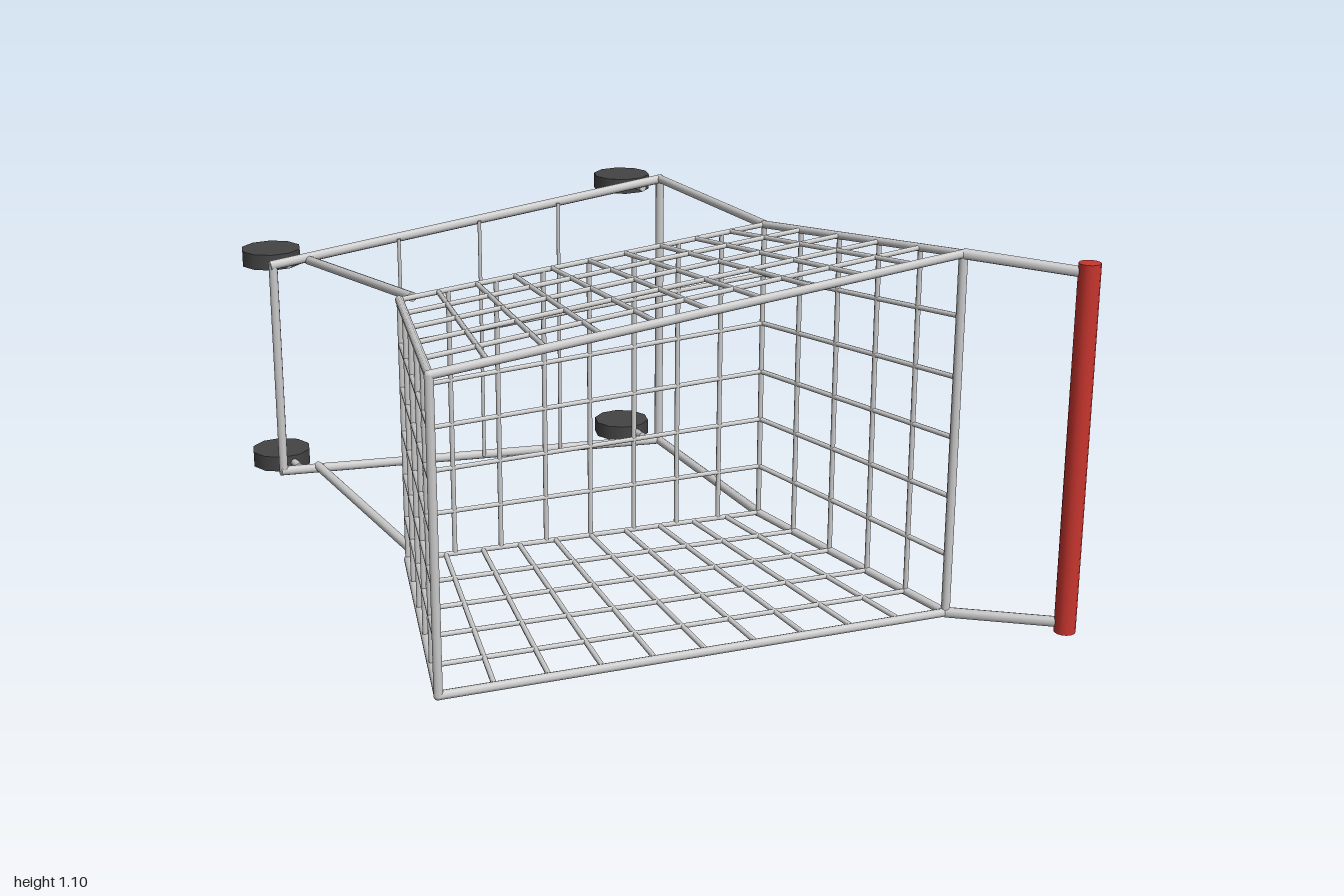
import * as THREE from 'three';

const grey = new THREE.MeshStandardMaterial({ color: 0xcccccc });
const red = new THREE.MeshStandardMaterial({ color: 0xc8352e });
const dark = new THREE.MeshStandardMaterial({ color: 0x444444 });
const MID = 0.552; // the cart lies on its side, mirrored about this height

const V = (x, h, z) => new THREE.Vector3(x, MID + h, z);
const mix = (a, b, t) => a.clone().lerp(b, t);

// round rod between two points
function rod(parent, name, a, b, r, material = grey, sides = 8) {
  const d = b.clone().sub(a);
  const mesh = new THREE.Mesh(new THREE.CylinderGeometry(r, r, d.length(), sides), material);
  mesh.position.copy(a).add(b).multiplyScalar(0.5);
  mesh.quaternion.setFromUnitVectors(new THREE.Vector3(0, 1, 0), d.normalize());
  mesh.name = name;
  parent.add(mesh);
}

// rounded joint where rods meet
function joint(parent, p, r) {
  const mesh = new THREE.Mesh(new THREE.SphereGeometry(r, 8, 6), grey);
  mesh.position.copy(p);
  mesh.name = 'joint';
  parent.add(mesh);
}

// wire grid filling the quad a-b-c-d, with nu and nv divisions
function wireGrid(parent, name, [a, b, c, d], nu, nv) {
  const g = new THREE.Group();
  g.name = name;
  for (let i = 1; i < nu; i++) rod(g, 'wire', mix(a, b, i / nu), mix(d, c, i / nu), 0.0075);
  for (let j = 1; j < nv; j++) rod(g, 'wire', mix(a, d, j / nv), mix(b, c, j / nv), 0.0075);
  parent.add(g);
}

export function createModel() {
  const cart = new THREE.Group();
  cart.name = 'cart';

  // basket corners: open rim and smaller floor
  const rim = [V(-0.92, -0.43, 0.712), V(0.672, -0.535, 0.712), V(0.672, 0.535, 0.712), V(-0.92, 0.43, 0.712)];
  const floor = [V(-0.675, -0.39, -0.063), V(0.512, -0.465, -0.063), V(0.512, 0.465, -0.063), V(-0.675, 0.39, -0.063)];

  const basket = new THREE.Group();
  basket.name = 'basket';
  cart.add(basket);
  for (let i = 0; i < 4; i++) {
    const k = (i + 1) % 4;
    rod(basket, 'rim', rim[i], rim[k], 0.013);
    rod(basket, 'floorEdge', floor[i], floor[k], 0.008);
    rod(basket, 'cornerPost', rim[i], floor[i], 0.012);
    joint(basket, rim[i], 0.013);
    joint(basket, floor[i], 0.012);
    wireGrid(basket, 'wall', [rim[i], rim[k], floor[k], floor[i]], i % 2 ? 6 : 10, 5);
  }
  wireGrid(basket, 'floor', floor, 8, 6);

  // undercarriage
  const base = new THREE.Group();
  base.name = 'undercarriage';
  cart.add(base);
  const Z = -0.782;
  const railHalf = (x) => 0.332 + ((x + 0.8) / 1.35) * 0.123;
  const onRail = (x, s, z = Z) => V(x, s * railHalf(x), z);

  for (const s of [-1, 1]) {
    rod(base, 'rail', onRail(-0.8, s), onRail(0.557, s), 0.015);
    rod(base, 'leg', V(-0.635, s * 0.393, -0.063), V(-0.677, s * 0.335, Z), 0.014);
    rod(base, 'leg', V(0.512, s * 0.465, -0.063), onRail(0.552, s), 0.014);
    joint(base, onRail(0.552, s), 0.015);

    // casters: stem and ten-sided wheel
    for (const [x, h] of [[-0.75, 0.328], [0.478, 0.431]]) {
      const caster = new THREE.Group();
      caster.name = 'caster';
      rod(caster, 'stem', V(x + 0.011, s * h, Z), V(x + 0.011, s * h, -0.87), 0.012);
      const wheel = new THREE.Mesh(new THREE.CylinderGeometry(0.092, 0.092, 0.048, 10), dark);
      wheel.position.copy(V(x, s * h, -0.912));
      wheel.rotation.y = Math.PI / 10;
      wheel.name = 'wheel';
      caster.add(wheel);
      base.add(caster);
    }
  }
  for (const x of [-0.79, 0.552]) rod(base, 'crossBar', onRail(x, -1), onRail(x, 1), 0.014);
  for (const x of [-0.385, -0.11, 0.168]) rod(base, 'trayWire', onRail(x, -1, -0.763), onRail(x, 1, -0.763), 0.006);

  // push handle and its arms
  const handle = new THREE.Group();
  handle.name = 'handle';
  cart.add(handle);
  for (const s of [-1, 1]) rod(handle, 'handleArm', V(0.672, s * 0.535, 0.712), V(0.897, s * 0.513, 0.967), 0.016);
  rod(handle, 'grip', V(0.9, -0.541, 0.969), V(0.9, 0.541, 0.969), 0.031, red, 14);

  return cart;
}
